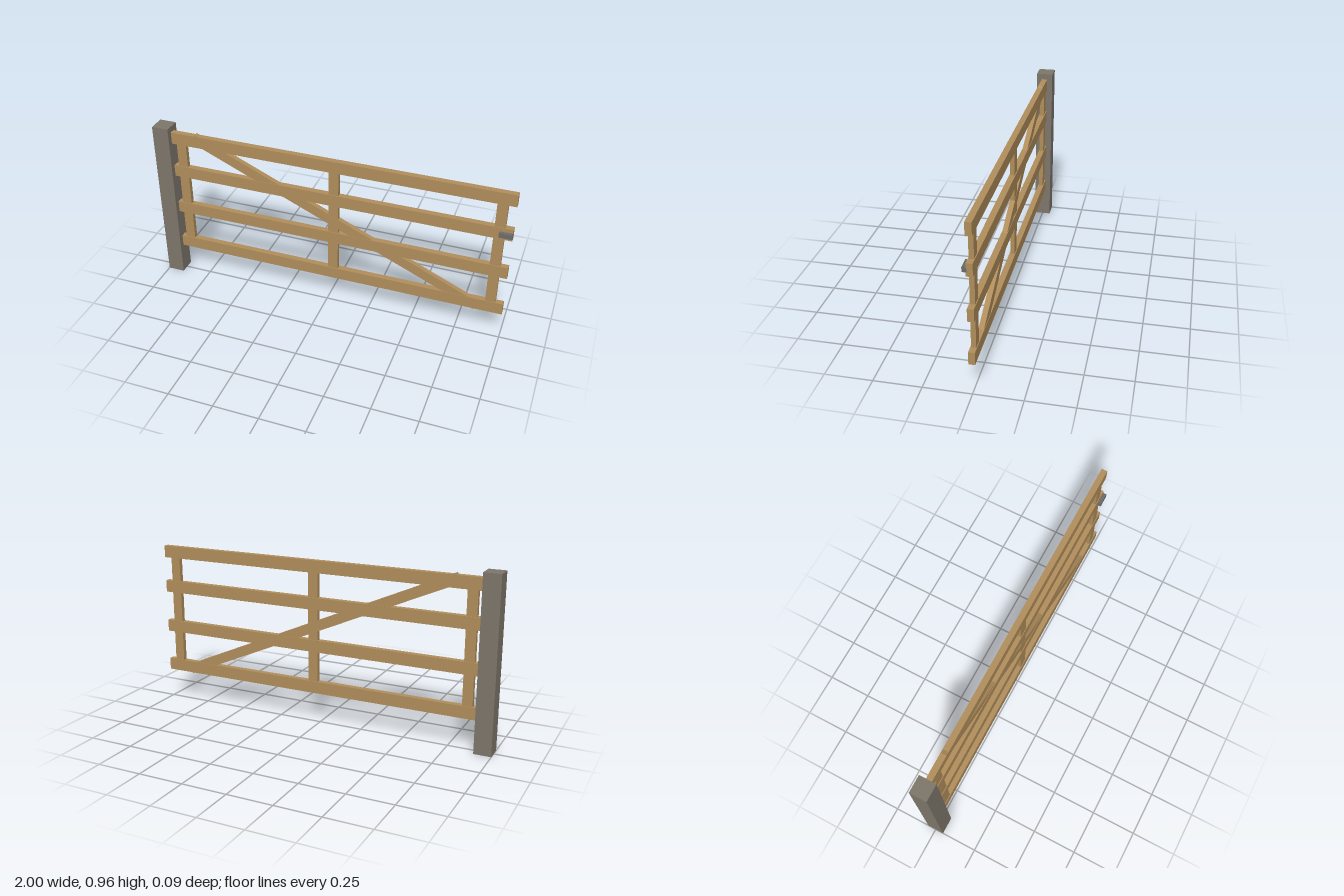
import * as THREE from 'three';

const material = (name, color) => {
  const m = new THREE.MeshStandardMaterial({ color });
  m.name = name;
  return m;
};

export function createModel() {
  const gate = new THREE.Group();
  gate.name = 'fieldGate';
  const wood = material('wood', 0xb08d5b);
  const postGrey = material('weatheredPost', 0x7d756a);
  const iron = material('iron', 0x6c6b69);

  // Box given by its limits on x and y, and its depth centred on z
  const addBox = (name, mat, [x0, x1], [y0, y1], depth, z = 0) => {
    const mesh = new THREE.Mesh(new THREE.BoxGeometry(x1 - x0, y1 - y0, depth), mat);
    mesh.position.set((x0 + x1) / 2, (y0 + y1) / 2, z);
    mesh.name = name;
    gate.add(mesh);
    return mesh;
  };

  // Hanging post
  addBox('post', postGrey, [-1, -0.905], [0, 0.96], 0.095);

  // Four horizontal rails
  [0.207, 0.447, 0.687, 0.893].forEach((y, i) =>
    addBox(`rail${i + 1}`, wood, [-0.91, 1], [y - 0.034, y + 0.034], 0.033));

  // Three uprights, slimmer than the rails
  [-0.85, 0.039, 0.93].forEach((x, i) =>
    addBox(`upright${i + 1}`, wood, [x - 0.028, x + 0.028], [0.19, 0.91], 0.025));

  // Diagonal brace, its ends just poking past the outer rails
  const brace = addBox('brace', wood, [-0.8475, 0.9295], [0.523, 0.579], 0.028);
  brace.rotation.z = -0.4165;

  // Latch on the front of the free end
  addBox('latch', iron, [0.93, 1], [0.674, 0.7], 0.024, 0.0235);

  return gate;
}
